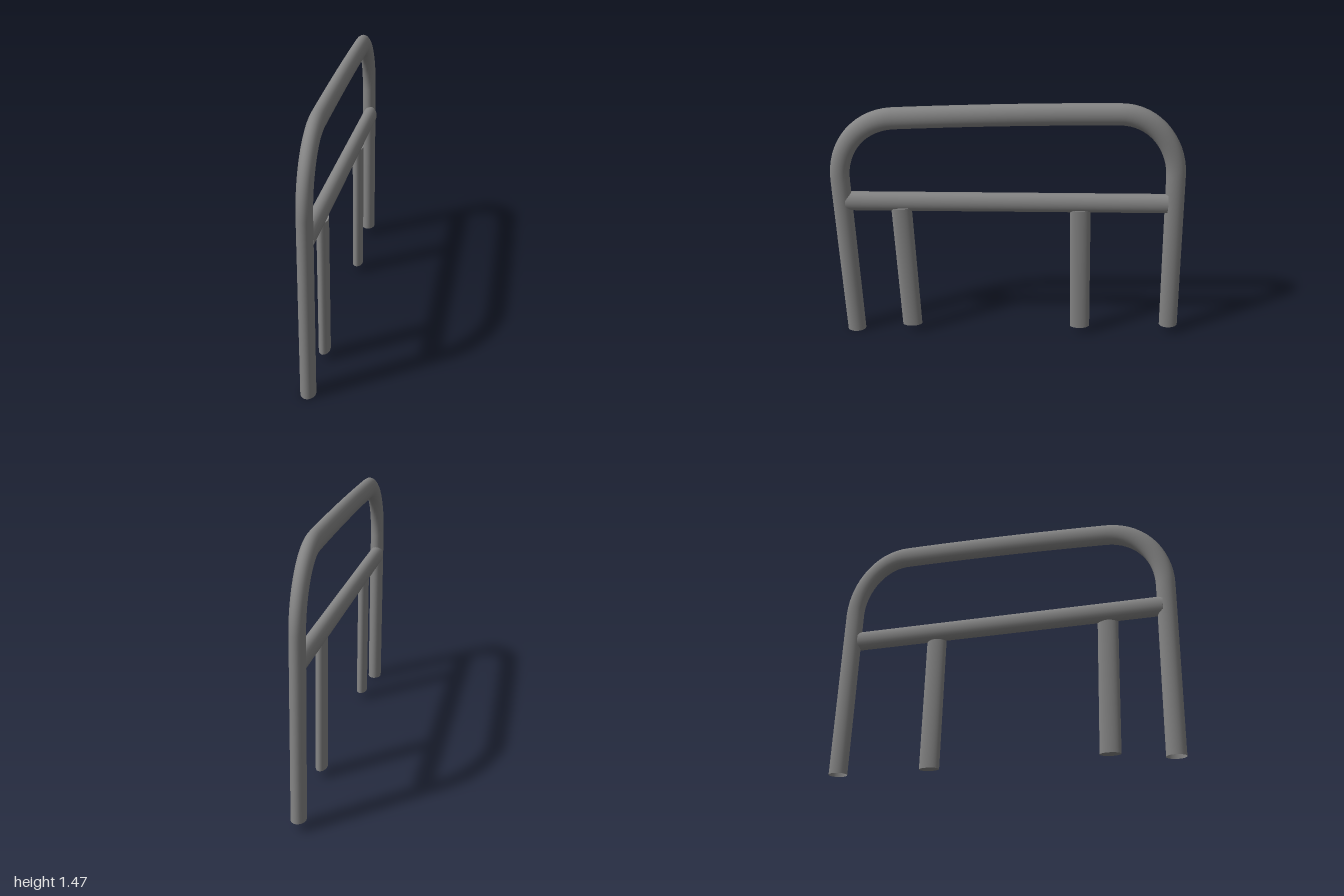
import * as THREE from 'three';
import { mergeGeometries } from 'three/addons/utils/BufferGeometryUtils.js';

const material = new THREE.MeshStandardMaterial({ color: 0x848484, side: THREE.DoubleSide });
const p = (z, y, x = 0) => new THREE.Vector3(x, y, z);

// Disc closing a pipe at its start (t = 0) or end (t = 1)
function endCap(curve, radius, t) {
  const dir = curve.getTangentAt(t).multiplyScalar(t ? 1 : -1);
  const end = curve.getPointAt(t);
  return new THREE.CircleGeometry(radius, 24)
    .applyQuaternion(new THREE.Quaternion().setFromUnitVectors(new THREE.Vector3(0, 0, 1), dir))
    .translate(end.x, end.y, end.z);
}

// Oval pipe along a curve: squash narrows it across x, swell thickens horizontal
// stretches, and skew(z) gives the sideways position of its centre line
function pipe(name, curve, { radius, squash, segments = 4, swell = 0, capped = true, skew }) {
  const tube = new THREE.TubeGeometry(curve, segments, radius, 24, false);
  const pos = tube.attributes.position;
  const nor = tube.attributes.normal;
  for (let i = 0; i < pos.count; i++) pos.setY(i, pos.getY(i) + nor.getY(i) * swell);

  const caps = capped ? [0, 1].map((t) => endCap(curve, radius, t)) : [];
  const geometry = mergeGeometries([tube, ...caps]).scale(squash, 1, 1);
  const out = geometry.attributes.position;
  for (let i = 0; i < out.count; i++) out.setX(i, out.getX(i) + skew(out.getZ(i)));

  const mesh = new THREE.Mesh(geometry, material);
  mesh.name = name;
  return mesh;
}

export function createModel() {
  const group = new THREE.Group();
  group.name = 'barrier';

  // Bent hoop, open at the feet: front leg, front bend, top bar, back bend, back leg
  const hoop = new THREE.CurvePath();
  hoop.add(new THREE.LineCurve3(p(0.93, 0), p(0.947, 1.0)));
  hoop.add(new THREE.CubicBezierCurve3(p(0.947, 1.0), p(0.95, 1.21), p(0.81, 1.363), p(0.63, 1.371)));
  hoop.add(new THREE.QuadraticBezierCurve3(p(0.63, 1.371), p(0.01, 1.401), p(-0.59, 1.403)));
  hoop.add(new THREE.CubicBezierCurve3(p(-0.59, 1.403), p(-0.77, 1.403), p(-0.905, 1.23), p(-0.911, 1.04)));
  hoop.add(new THREE.LineCurve3(p(-0.911, 1.04), p(-0.946, 0.051)));
  group.add(pipe('hoop', hoop, {
    radius: 0.054, squash: 0.75, segments: 120, swell: 0.008, capped: false,
    skew: (z) => -0.003 + 0.005 * z,
  }));

  // Middle rail between the legs, running slightly askew
  group.add(pipe('rail', new THREE.LineCurve3(p(0.925, 0.867), p(-0.875, 0.875)), {
    radius: 0.057, squash: 0.75, skew: (z) => 0.002 - 0.004 * z,
  }));

  // Short flattened posts under the rail
  for (const [name, z] of [['frontPost', 0.589], ['backPost', -0.415]]) {
    group.add(pipe(name, new THREE.LineCurve3(p(z, 0.047), p(z + 0.024, 0.84)), {
      radius: 0.058, squash: 0.54, skew: () => 0.015,
    }));
  }
  return group;
}
